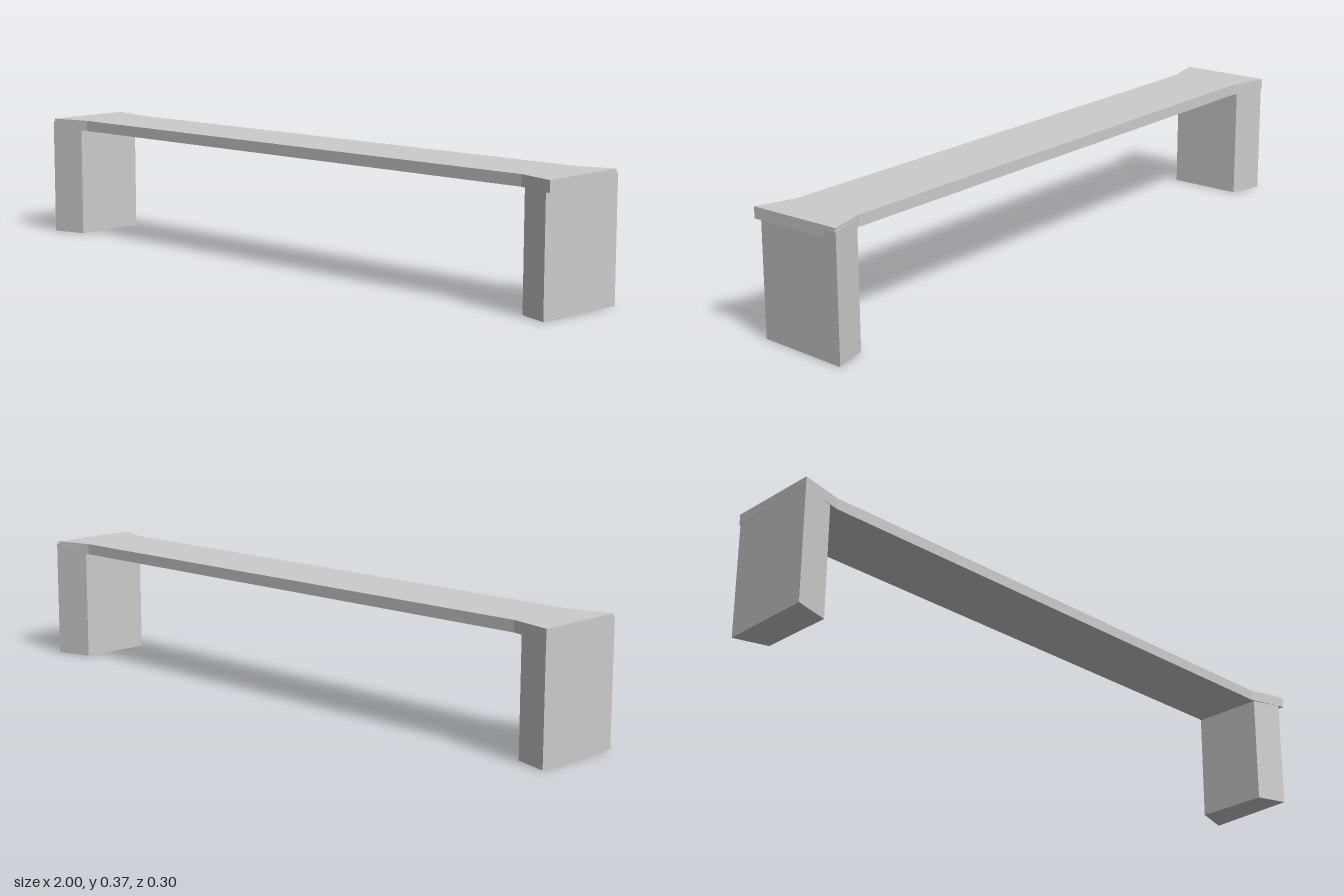
import * as THREE from 'three';

// Vertical prism from a plan outline of [x, z] points
function prism(name, outline, bottom, top, material) {
  const shape = new THREE.Shape(outline.map(([x, z]) => new THREE.Vector2(x, -z)));
  const geometry = new THREE.ExtrudeGeometry(shape, { depth: top - bottom, bevelEnabled: false });
  geometry.rotateX(-Math.PI / 2);
  geometry.translate(0, bottom, 0);
  const mesh = new THREE.Mesh(geometry, material);
  mesh.name = name;
  return mesh;
}

export function createModel() {
  const group = new THREE.Group();
  group.name = 'bench';
  const material = new THREE.MeshStandardMaterial({ color: 0xcccccc, flatShading: true });

  // Long top board, flared at both ends
  group.add(prism('topBoard', [
    [-0.998, 0.142], [-0.87, 0.112], [0.88, 0.112], [0.997, 0.148],
    [0.997, -0.143], [0.88, -0.112], [-0.87, -0.112], [-0.998, -0.143],
  ], 0.337, 0.37, material));

  // Flared end legs, each turned slightly and let into the board
  group.add(prism('leftLeg', [
    [0.89, 0.111], [0.98, 0.142], [1, -0.147], [0.89, -0.115],
  ], 0, 0.362, material));
  group.add(prism('rightLeg', [
    [-0.895, 0.116], [-1, 0.145], [-0.996, -0.141], [-0.985, -0.139], [-0.895, -0.112],
  ], 0, 0.362, material));

  return group;
}
